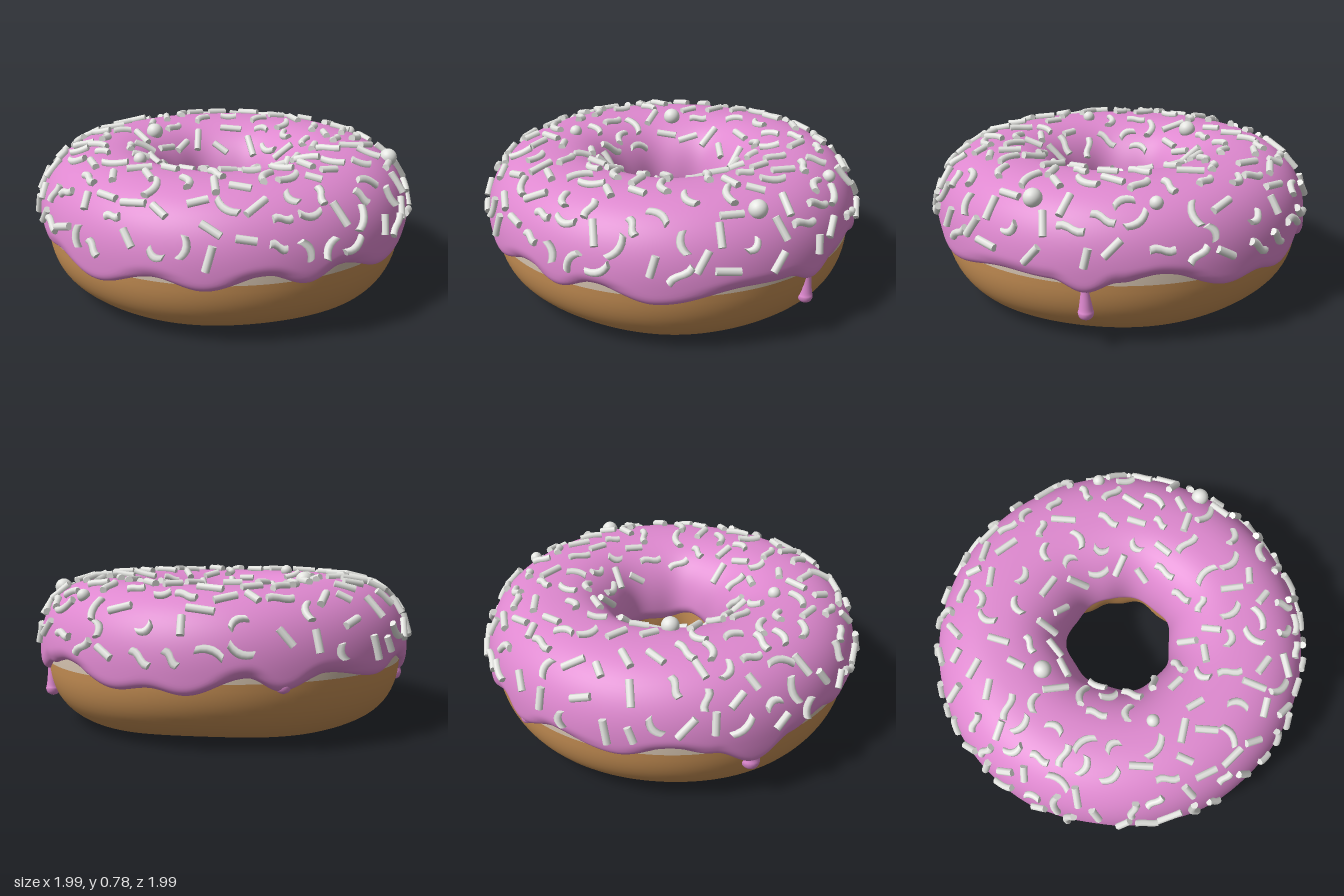
import * as THREE from 'three';
import { mergeGeometries } from 'three/addons/utils/BufferGeometryUtils.js';

const TAU = Math.PI * 2, rad = THREE.MathUtils.degToRad;
const mat = (name, color) => {
  const m = new THREE.MeshStandardMaterial({ color });
  m.name = name;
  return m;
};

// Ring cross-section: a rounded squarish loop; phi 0 = outside, PI/2 = top, PI = hole
const CY = 0.385, CR = 0.61, POW = 0.85, LOW = 0.365;
const soft = (v) => Math.sign(v) * Math.abs(v) ** POW;
function ringPoint(u, phi, off = 0) {
  const c = soft(Math.cos(phi)), s = soft(Math.sin(phi));
  const inner = 0.3 + 0.008 * Math.cos(3 * u + 0.6) + 0.007 * Math.cos(7 * u);
  const low = LOW - 0.015 + 0.01 * Math.cos(2 * u - 1.6) + 0.005 * Math.cos(5 * u);
  let r = CR + c * ((c > 0 ? 0.325 : inner) + off);
  // Soft pleats low inside the hole
  if (c < 0 && s < 0) r += 0.02 * Math.cos(9 * u + Math.sin(2 * u)) * c * s;
  const y = CY + s * ((s > 0 ? 0.337 : low) + off);
  return new THREE.Vector3(r * Math.cos(u), y, r * Math.sin(u));
}

// Grid surface closed around the ring
function ringSurface(fn, nu, nv) {
  const pos = [], index = [];
  for (let i = 0; i < nu; i++)
    for (let j = 0; j <= nv; j++) pos.push(...fn((i / nu) * TAU, j / nv).toArray());
  for (let i = 0; i < nu; i++)
    for (let j = 0; j < nv; j++) {
      const a = i * (nv + 1) + j, c = ((i + 1) % nu) * (nv + 1) + j;
      index.push(a, a + 1, c, a + 1, c + 1, c);
    }
  const g = new THREE.BufferGeometry();
  g.setAttribute('position', new THREE.Float32BufferAttribute(pos, 3));
  g.setIndex(index);
  g.computeVertexNormals();
  return g;
}

// Wavy lower edge of the icing: peaks and valleys as [degrees, height]
const EDGE = [[6, 0.4], [17, 0.365], [26.6, 0.31], [36, 0.362], [50, 0.37], [75, 0.31],
  [93, 0.385], [104, 0.33], [116, 0.39], [133, 0.32], [147, 0.37], [166, 0.29], [184, 0.36],
  [192, 0.35], [202, 0.385], [214, 0.35], [226, 0.26], [238, 0.35], [250, 0.39], [265, 0.335],
  [285, 0.38], [299, 0.31], [308, 0.375], [325, 0.29], [335, 0.32], [345, 0.3], [366, 0.4]];
function edgeHeight(u) {
  let d = (u / TAU) * 360;
  if (d < 6) d += 360;
  const k = Math.max(1, EDGE.findIndex((e) => e[0] >= d));
  const [a, b] = [EDGE[k - 1], EDGE[k]];
  const t = (d - a[0]) / (b[0] - a[0]);
  return a[1] + (b[1] - a[1]) * (0.5 - 0.5 * Math.cos(t * Math.PI));
}
const heightToPhi = (y) => {
  const t = (y - CY) / LOW;
  return Math.asin(Math.sign(t) * Math.abs(t) ** (1 / POW));
};

// Icing sheet with a rounded lip along both edges
const ICE = 0.036;
function icingPoint(u, v) {
  const start = heightToPhi(edgeHeight(u));
  const end = Math.PI - heightToPhi(0.37 + 0.02 * Math.cos(4 * u) + 0.012 * Math.cos(7 * u + 1));
  const t = v - (Math.sin(TAU * v) / TAU) * 0.85;
  const phi = start + (end - start) * t;
  const near = Math.min(1, Math.min(phi - start, end - phi) / 0.13);
  return ringPoint(u, phi, -0.006 + (ICE + 0.006) * Math.sqrt(Math.max(0, 1 - (1 - near) ** 2)));
}

// Hanging drop: a teardrop lathe set into the side of the ring
function drip(deg, r, bottom, top, bulb, neck) {
  const h = top - bottom;
  const curve = new THREE.SplineCurve([[0, 0], [bulb * 0.75, bulb * 0.35], [bulb, bulb],
    [bulb * 0.85, bulb * 1.7], [neck, h * 0.6], [neck * 1.25, h * 0.8], [0.001, h]]
    .map(([x, y]) => new THREE.Vector2(x, y)));
  const g = new THREE.LatheGeometry(curve.getPoints(30).map((p) => p.setX(Math.max(0, p.x))), 20);
  g.translate(r * Math.cos(rad(deg)), bottom, r * Math.sin(rad(deg)));
  return g;
}

// Sprinkle: a short rod, straight, arched or S-shaped
function sprinkle(length, arch, sway) {
  const g = new THREE.CylinderGeometry(0.019, 0.019, length, 8, 5);
  const p = g.attributes.position;
  for (let i = 0; i < p.count; i++) {
    const t = (p.getY(i) / length) * 2;
    p.setX(i, p.getX(i) + arch * (t * t - 0.4) + sway * Math.sin(t * 2.6));
  }
  return g;
}

// Frame on the icing: position, outward normal and a tangent direction
function placement(u, phi, spin, lift) {
  const p = ringPoint(u, phi, ICE);
  const du = ringPoint(u + 0.01, phi, ICE).sub(p).normalize();
  const dp = ringPoint(u, phi + 0.01, ICE).sub(p).normalize();
  const n = dp.clone().cross(du).normalize();
  const along = du.clone().applyAxisAngle(n, spin);
  along.addScaledVector(n, -along.dot(n)).normalize();
  const m = new THREE.Matrix4().makeBasis(along.clone().cross(n), along, n);
  return m.setPosition(p.addScaledVector(n, lift));
}

export function createModel() {
  const brown = mat('baked dough', 0xc68f54), cream = mat('pale dough', 0xd4c2ae);
  const pink = mat('pink icing', 0xde88cf), white = mat('white sprinkles', 0xe4e5e1);
  const model = new THREE.Group();
  model.name = 'doughnut';
  const add = (name, geometry, material) => {
    const mesh = new THREE.Mesh(geometry, material);
    mesh.name = name;
    mesh.position.set(-0.008, 0, -0.014);
    model.add(mesh);
  };

  // Dough with a pale band around its outside
  const bandLow = heightToPhi(0.347), bandHigh = 0.5;
  add('dough', ringSurface((u, v) =>
    ringPoint(u, bandHigh + (TAU + bandLow - bandHigh) * v), 160, 64), brown);
  add('paleBand', ringSurface((u, v) =>
    ringPoint(u, bandLow + (bandHigh - bandLow) * v), 160, 8), cream);

  // Icing and its drips
  add('icing', ringSurface(icingPoint, 320, 64), pink);
  add('longDrip', drip(26.6, 0.918, 0.168, 0.42, 0.037, 0.023), pink);
  add('wideDrip', drip(226, 0.915, 0.2, 0.43, 0.046, 0.042), pink);
  add('shortDrip', drip(298, 0.932, 0.3, 0.43, 0.034, 0.03), pink);

  // Sprinkles scattered evenly over the icing
  let seed = 11;
  const rand = () => {
    seed = (seed * 16807) % 2147483647;
    return seed / 2147483647;
  };
  const balls = [[-0.155, -0.44, 0.045], [0.61, 0.59, 0.045], [-0.545, 0.03, 0.032], [0.84, 0.09, 0.032]];
  const taken = [], rods = [], beads = [];
  for (const [x, z, r] of balls) {
    // Find the point of the icing's upper side at this distance from the axis
    const u = Math.atan2(z, x), R = Math.hypot(x, z);
    let phi = 0.1;
    while (phi < 3 && Math.hypot(ringPoint(u, phi, ICE).x, ringPoint(u, phi, ICE).z) > R) phi += 0.01;
    const m = placement(u, phi, 0, r * 0.35);
    taken.push(new THREE.Vector3().setFromMatrixPosition(m));
    beads.push(new THREE.SphereGeometry(r, 20, 14).applyMatrix4(m));
  }
  for (let tries = 0; tries < 6000 && rods.length < 185; tries++) {
    const u = rand() * TAU, phi = 0.14 + rand() * 2.4, spin = rand() * TAU;
    const m = placement(u, phi, spin, 0.008);
    const p = new THREE.Vector3().setFromMatrixPosition(m);
    if (rand() > Math.hypot(p.x, p.z) || taken.some((q) => q.distanceTo(p) < 0.112)) continue;
    taken.push(p);
    const kind = rand(), length = 0.075 + 0.055 * rand();
    const arch = kind > 0.45 && kind < 0.8 ? 0.022 : 0, sway = kind >= 0.8 ? 0.011 : 0;
    rods.push(sprinkle(length, arch, sway).applyMatrix4(m));
  }
  add('sprinkles', mergeGeometries(rods), white);
  add('sugarBalls', mergeGeometries(beads), white);
  return model;
}
